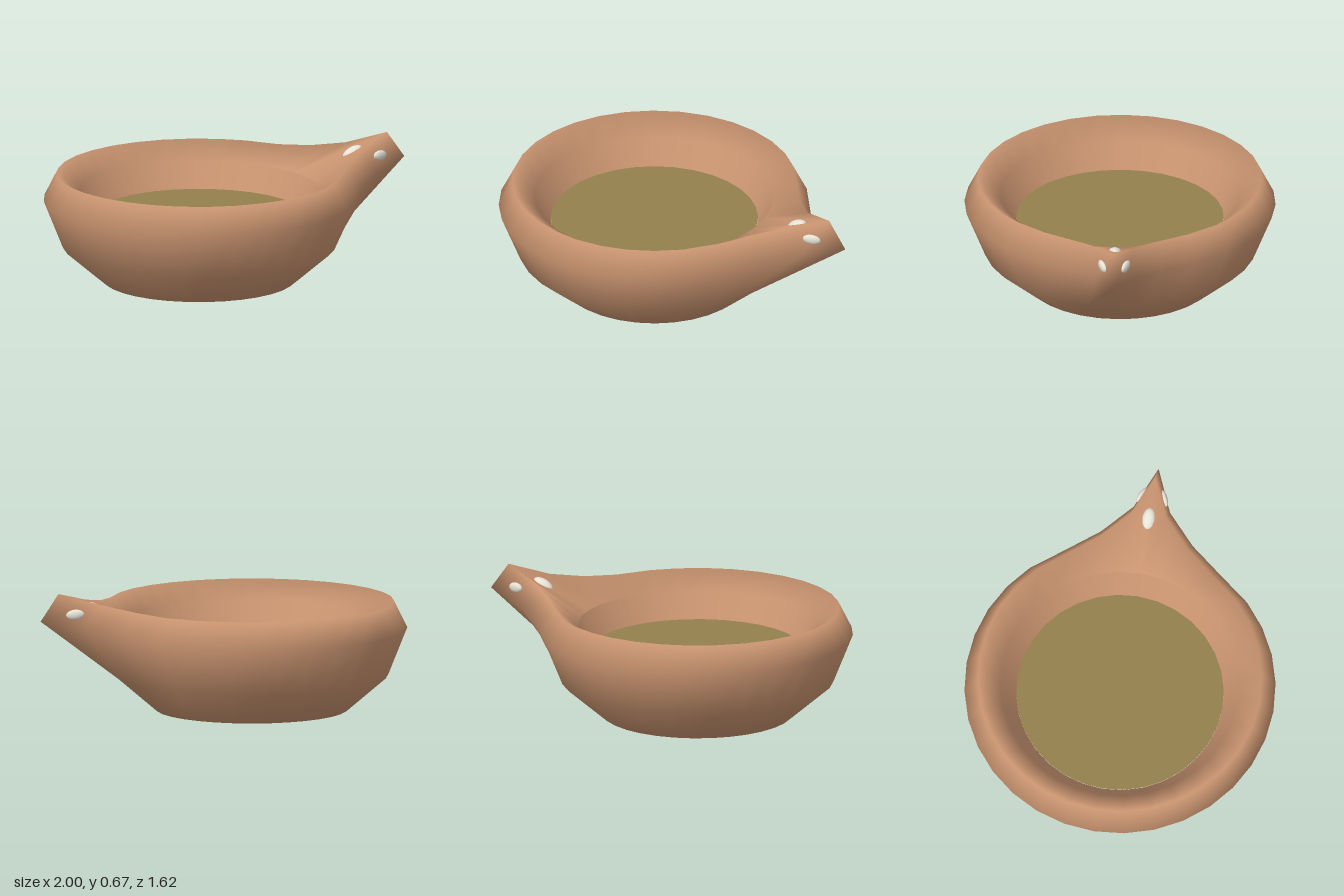
import * as THREE from 'three';

const SIDES = 32;
const CENTRE_X = -0.19;

// Spout shaping by steps away from the spout axis: outward pull, lift and width factor
const PULL = [0.38, 0.185, 0.08, 0.03];
const LIFT = [0.1, 0.045, 0.015, 0];
const PINCH = [1, 0.61, 0.78, 0.9];

// Bowl rings from the base to inside the lip: radius, height, spout strength
const RINGS = [
  [0, 0, 0], [0.5, 0, 0], [0.71, 0.18, 0], [0.81, 0.43, 1],
  [0.74, 0.57, 0.92], [0.62, 0.48, 0], [0.61, 0.34, 0],
];

function bowlGeometry() {
  const positions = [];
  const index = [];
  RINGS.forEach(([r, y, s], i) => {
    for (let j = 0; j < SIDES; j++) {
      const a = (j / SIDES) * Math.PI * 2;
      const k = Math.min(j, SIDES - j);
      const near = k < PULL.length;
      const pull = near ? PULL[k] * s : 0;
      const lift = near && s > 0 ? LIFT[k] : 0;
      const pinch = near ? 1 - (1 - PINCH[k]) * s : 1;
      positions.push(CENTRE_X + r * Math.cos(a) + pull, y + lift, r * Math.sin(a) * pinch);
      if (i < RINGS.length - 1) {
        const n = (j + 1) % SIDES;
        const p = i * SIDES + j, q = i * SIDES + n;
        index.push(p, p + SIDES, q, q, p + SIDES, q + SIDES);
      }
    }
  });
  const g = new THREE.BufferGeometry();
  g.setAttribute('position', new THREE.Float32BufferAttribute(positions, 3));
  g.setIndex(index);
  g.computeVertexNormals();
  return g;
}

export function createModel() {
  const group = new THREE.Group();
  const material = (name, color) => {
    const m = new THREE.MeshStandardMaterial({ color });
    m.name = name;
    return m;
  };
  const clay = material('clay', 0xc8936f);
  const oilColour = material('oil', 0x94804e);
  const white = material('white', 0xe6e2d6);

  const add = (name, geometry, mat, x, y, z) => {
    const mesh = new THREE.Mesh(geometry, mat);
    mesh.name = name;
    mesh.position.set(x, y, z);
    group.add(mesh);
    return mesh;
  };

  // Bowl with its pinched spout
  add('bowl', bowlGeometry(), clay, 0, 0, 0);

  // Sloping inner wall, turned to face the middle
  const wall = new THREE.LatheGeometry(
    [new THREE.Vector2(0.62, 0.48), new THREE.Vector2(0.54, 0.345)], SIDES, Math.PI / 2);
  const wallMat = clay.clone();
  wallMat.side = THREE.FrontSide;
  add('innerWall', wall, clay, CENTRE_X, 0, 0);

  // Oil surface
  const oil = new THREE.CircleGeometry(0.54, SIDES).rotateX(-Math.PI / 2);
  add('oil', oil, oilColour, CENTRE_X, 0.35, 0);

  // Wick lying in the spout channel
  const bead = new THREE.SphereGeometry(1, 16, 10);
  const wick = add('wick', bead, white, 0.7, 0.58, 0);
  wick.scale.set(0.06, 0.03, 0.036);
  wick.rotation.z = 0.45;

  // White beads on both sides of the spout
  for (const side of [1, -1]) {
    const spot = add(side > 0 ? 'frontBead' : 'backBead', bead, white, 0.83, 0.565, side * 0.06);
    spot.scale.set(0.048, 0.027, 0.016);
    spot.rotation.set(0, side * 0.4, -0.1);
  }
  return group;
}
